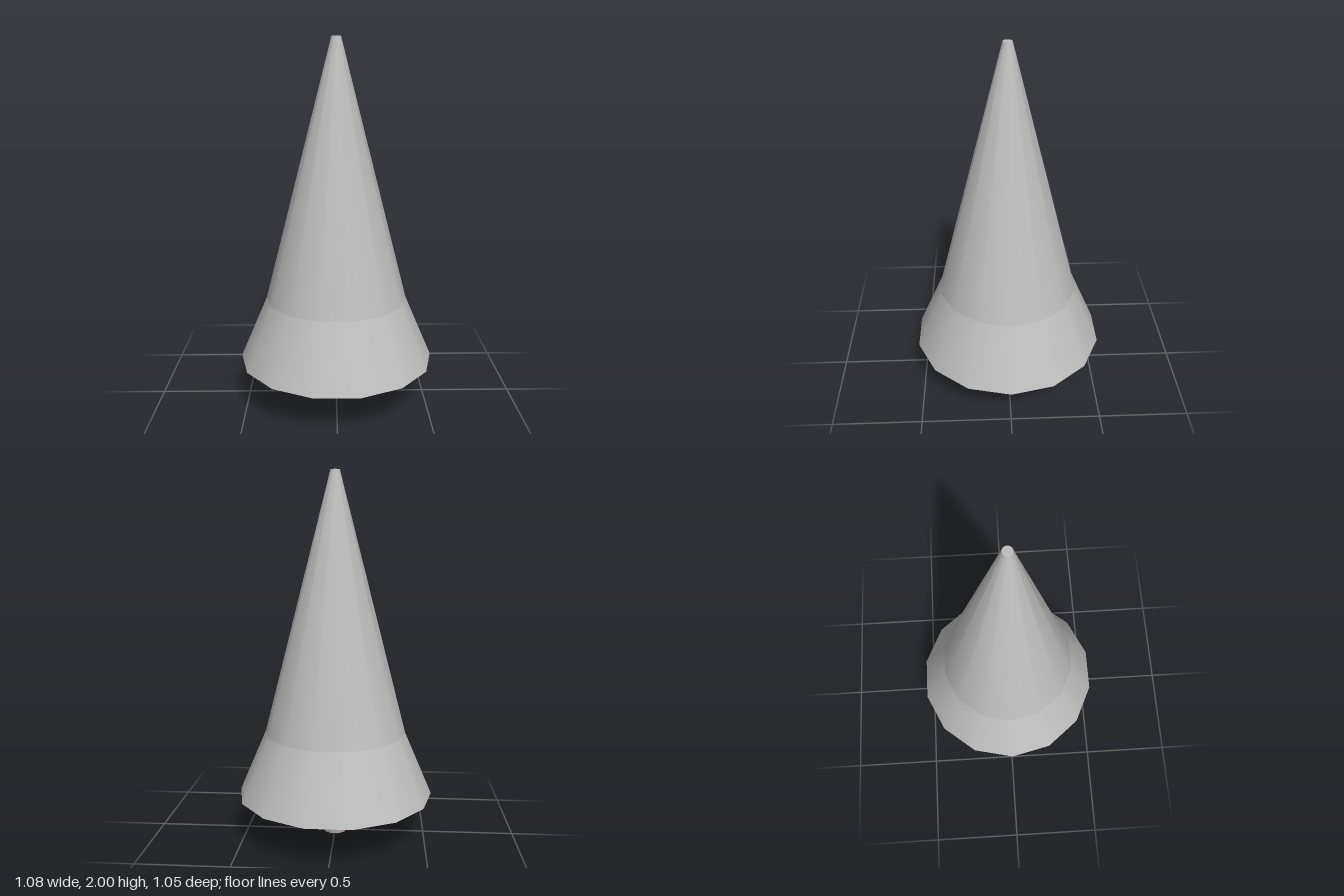
import * as THREE from 'three';

const SIDES = 14;

export function createModel() {
  const group = new THREE.Group();

  const foliageGrey = new THREE.MeshStandardMaterial({ color: 0xbebebe, side: THREE.DoubleSide });
  foliageGrey.name = 'foliageGrey';
  const trunkBrown = new THREE.MeshStandardMaterial({ color: 0xb3a18c, side: THREE.DoubleSide, flatShading: true });
  trunkBrown.name = 'trunkBrown';

  // Tapered tube between two heights, with a corner on the x axis
  function addTaper(name, rTop, rBottom, yBottom, yTop, sides, open, material) {
    const geometry = new THREE.CylinderGeometry(rTop, rBottom, yTop - yBottom, sides, 1, open);
    geometry.rotateY(Math.PI / 2);
    geometry.translate(0, (yTop + yBottom) / 2, 0);
    const mesh = new THREE.Mesh(geometry, material);
    mesh.name = name;
    group.add(mesh);
  }

  // Tall closed cone with a small flat tip
  addTaper('upperFoliage', 0.025, 0.39, 0.58, 2, SIDES, false, foliageGrey);
  // Flared skirt, open underneath
  addTaper('foliageSkirt', 0.39, 0.54, 0.23, 0.58, SIDES, true, foliageGrey);
  // Short hollow trunk
  addTaper('trunk', 0.066, 0.066, 0, 0.23, 10, true, trunkBrown);

  return group;
}
